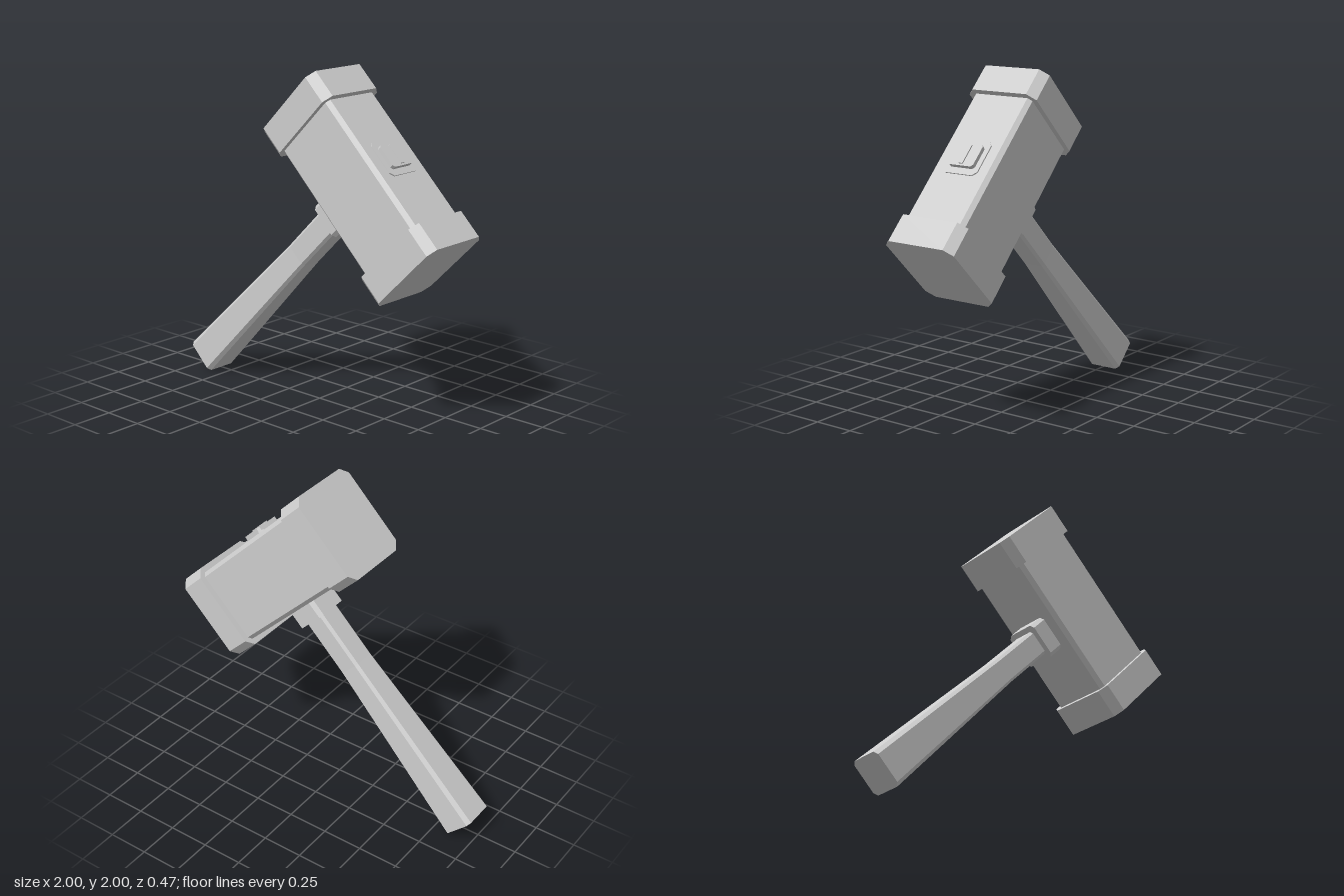
import * as THREE from 'three';

// Rectangle with cut corners, centred on the origin
function cutRect(halfW, halfH, cut) {
  const s = new THREE.Shape();
  s.moveTo(-halfW + cut, -halfH);
  s.lineTo(halfW - cut, -halfH);
  s.lineTo(halfW, -halfH + cut);
  s.lineTo(halfW, halfH - cut);
  s.lineTo(halfW - cut, halfH);
  s.lineTo(-halfW + cut, halfH);
  s.lineTo(-halfW, halfH - cut);
  s.lineTo(-halfW, -halfH + cut);
  s.closePath();
  return s;
}

// Prism with cut corners, centred on the origin and running along z
function prism(halfW, halfH, cut, length, steps = 1) {
  const g = new THREE.ExtrudeGeometry(cutRect(halfW, halfH, cut), { depth: length, steps, bevelEnabled: false });
  return g.translate(0, 0, -length / 2);
}

export function createModel() {
  const model = new THREE.Group();
  model.name = 'mallet';
  const grey = new THREE.MeshStandardMaterial({ color: 0xcccccc, flatShading: true });
  grey.name = 'plain grey';

  // Upright mallet: handle along y, head along x; tilted as a whole at the end
  const mallet = new THREE.Group();
  mallet.name = 'tiltedMallet';
  const add = (name, geometry, x, y, z = 0) => {
    const mesh = new THREE.Mesh(geometry, grey);
    mesh.name = name;
    mesh.position.set(x, y, z);
    mallet.add(mesh);
  };
  const cx = -0.709;
  const headY = 1.236;

  // Head block and its two larger end caps
  add('headBlock', prism(0.2, 0.241, 0.023, 0.9).rotateY(Math.PI / 2), cx, headY);
  for (const side of [-1, 1]) {
    const cap = prism(0.233, 0.276, 0.048, 0.177).rotateY(Math.PI / 2);
    add(side < 0 ? 'upperCap' : 'lowerCap', cap, cx + side * 0.5215, headY);
  }

  // Collar under the head
  add('collar', prism(0.11, 0.11, 0.022, 0.14).rotateX(-Math.PI / 2), cx, 0.957);

  // Handle: straight near the head, flaring towards the grip end
  const handle = prism(0.077, 0.077, 0.016, 1.5, 4).rotateX(-Math.PI / 2);
  const p = handle.attributes.position;
  const levels = [-0.59, 0.54, 0.7, 0.8, 0.91];
  for (let i = 0; i < p.count; i++) {
    const level = Math.round((p.getY(i) + 0.75) / 0.375);
    const flare = level === 0 ? 1.43 : 1;
    p.setXYZ(i, p.getX(i) * flare, levels[level], p.getZ(i) * flare);
  }
  handle.computeVertexNormals();
  add('handle', handle, cx, 0);

  // Stepped badge on top of the head
  const top = headY + 0.241;
  const plate = (halfX, halfZ, cut, height) => prism(halfX, halfZ, cut, height).rotateX(-Math.PI / 2);
  add('badgeBase', plate(0.115, 0.115, 0.025, 0.008), cx, top + 0.003);
  add('badgePlate', plate(0.075, 0.085, 0.014, 0.03), cx, top + 0.015);
  add('badgeBar', plate(0.063, 0.015, 0.002, 0.008), cx, top + 0.033);

  mallet.rotation.z = -Math.PI / 4;
  model.add(mallet);
  return model;
}
